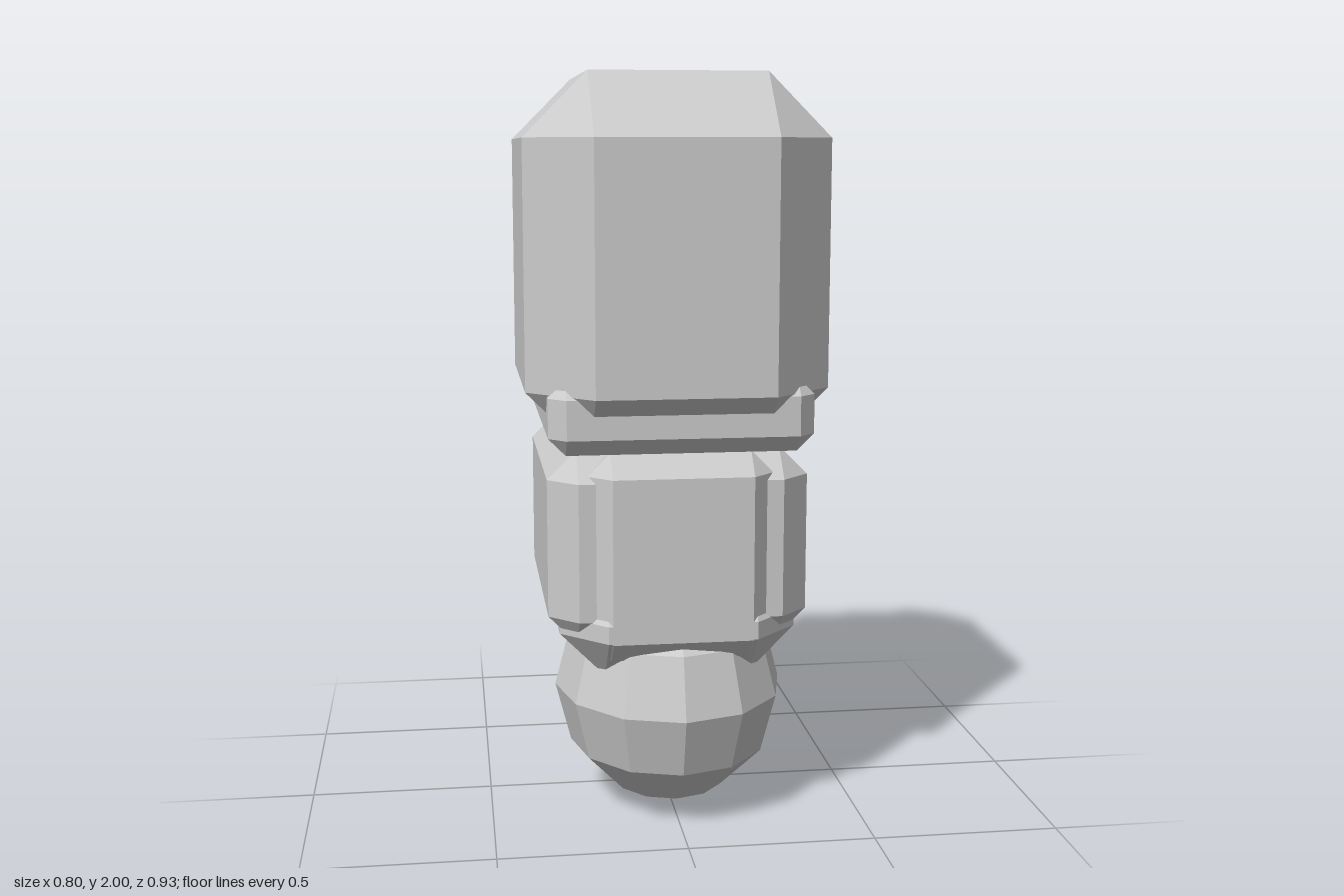
import * as THREE from 'three';
import { ConvexGeometry } from 'three/addons/geometries/ConvexGeometry.js';

// Box with every edge cut at 45 degrees: half width hx, height y0..y1, depth z0..z1, cut c
function chamferedBox(hx, y0, y1, z0, z1, c) {
  const half = [hx, (y1 - y0) / 2, (z1 - z0) / 2];
  const points = [];
  for (const sx of [-1, 1]) for (const sy of [-1, 1]) for (const sz of [-1, 1]) {
    for (let axis = 0; axis < 3; axis++) {
      const p = half.map((h, i) => (i === axis ? h : h - c));
      points.push(new THREE.Vector3(p[0] * sx, p[1] * sy, p[2] * sz));
    }
  }
  return new ConvexGeometry(points).translate(0, (y0 + y1) / 2, (z0 + z1) / 2);
}

export function createModel() {
  const group = new THREE.Group();
  const material = new THREE.MeshStandardMaterial({ color: 0xcccccc, flatShading: true });

  const add = (name, geometry) => {
    const mesh = new THREE.Mesh(geometry, material);
    mesh.name = name;
    group.add(mesh);
    return mesh;
  };

  // Stacked blocks; the corners of each joint poke out past its neighbours
  add('upperBlock', chamferedBox(0.4, 1.015, 2, -0.463, 0.463, 0.168));
  add('neckCollar', chamferedBox(0.347, 1.028, 1.222, -0.385, 0.415, 0.045));
  add('lowerBlock', chamferedBox(0.347, 0.505, 1.028, -0.463, 0.37, 0.077));
  add('frontPanel', chamferedBox(0.245, 0.47, 1.028, 0, 0.41, 0.06));
  add('ballSocket', chamferedBox(0.317, 0.413, 0.7, -0.33, 0.41, 0.12));

  // Faceted ball at the base, longer from front to back
  const ball = add('baseBall', new THREE.SphereGeometry(1, 12, 6));
  ball.scale.set(0.317, 0.327, 0.375);
  ball.position.set(0, 0.327, 0.08);

  return group;
}
